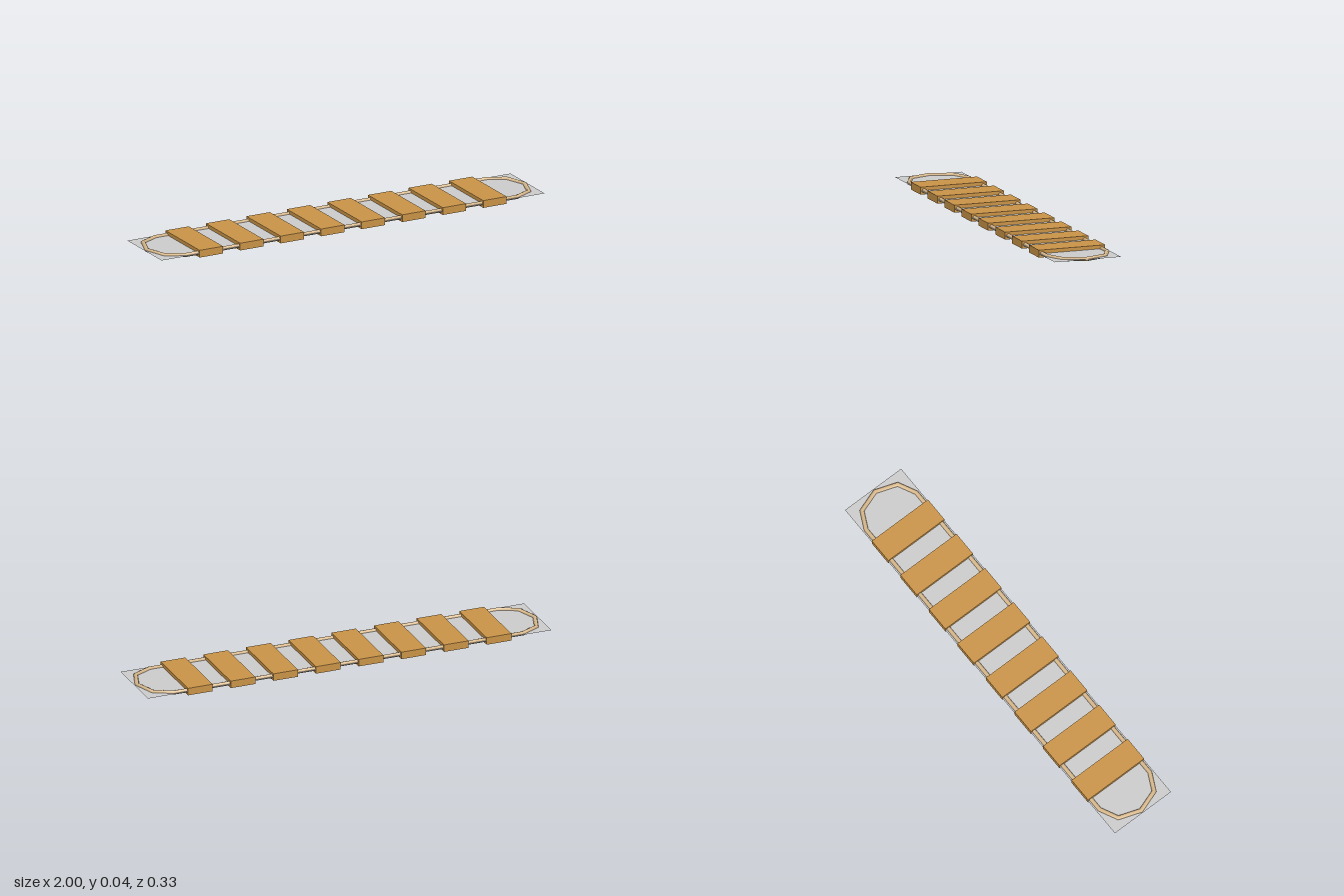
import * as THREE from 'three';

const HALF_DEPTH = 0.163, MID_Y = 0.018;

// Closed rope: a torus whose rings are moved onto the corners of a long loop
function ropeLoop(corners, radius, sides) {
  const n = corners.length;
  const geo = new THREE.TorusGeometry(1, radius, sides, n);
  const pos = geo.attributes.position, nor = geo.attributes.normal;
  for (let j = 0; j <= sides; j++) {
    const a = (j / sides) * Math.PI * 2;
    for (let i = 0; i <= n; i++) {
      const p = corners[i % n], before = corners[(i + n - 1) % n], after = corners[(i + 1) % n];
      const d1 = p.clone().sub(before).normalize(), d2 = after.clone().sub(p).normalize();
      const t = d1.clone().add(d2).normalize();
      const out = new THREE.Vector2(t.y, -t.x);
      const miter = radius / t.dot(d2);
      const k = j * (n + 1) + i;
      pos.setXYZ(k, p.x + out.x * miter * Math.cos(a), p.y + out.y * miter * Math.cos(a), radius * Math.sin(a));
      nor.setXYZ(k, out.x * Math.cos(a), out.y * Math.cos(a), Math.sin(a));
    }
  }
  return geo.rotateX(-Math.PI / 2);
}

export function createModel() {
  const group = new THREE.Group();
  const wood = new THREE.MeshStandardMaterial({ color: 0xc99347 });
  const rope = new THREE.MeshStandardMaterial({ color: 0xd9b98c });
  const grey = new THREE.MeshStandardMaterial({ color: 0xcccccc, side: THREE.DoubleSide });

  // Thin sheet through the middle of the planks
  const sheet = new THREE.Mesh(new THREE.PlaneGeometry(2, HALF_DEPTH * 2).rotateX(-Math.PI / 2), grey);
  sheet.name = 'baseSheet';
  sheet.position.y = MID_Y;
  group.add(sheet);

  // Rope running round both long sides and both ends
  const end = [[0.865, -0.146], [0.95, -0.104], [0.986, 0], [0.95, 0.104], [0.865, 0.146]];
  const corners = [...end, ...end.map(([x, z]) => [-x, -z])].map(([x, z]) => new THREE.Vector2(x, z));
  const loop = new THREE.Mesh(ropeLoop(corners, 0.01, 8), rope);
  loop.name = 'ropeLoop';
  loop.position.y = MID_Y;
  group.add(loop);

  // Eight evenly spaced planks
  const plankGeo = new THREE.BoxGeometry(0.122, 0.035, HALF_DEPTH * 2);
  for (let i = 0; i < 8; i++) {
    const plank = new THREE.Mesh(plankGeo, wood);
    plank.name = `plank${i + 1}`;
    plank.position.set((i - 3.5) * 0.2115, 0.0175, 0);
    group.add(plank);
  }
  return group;
}
